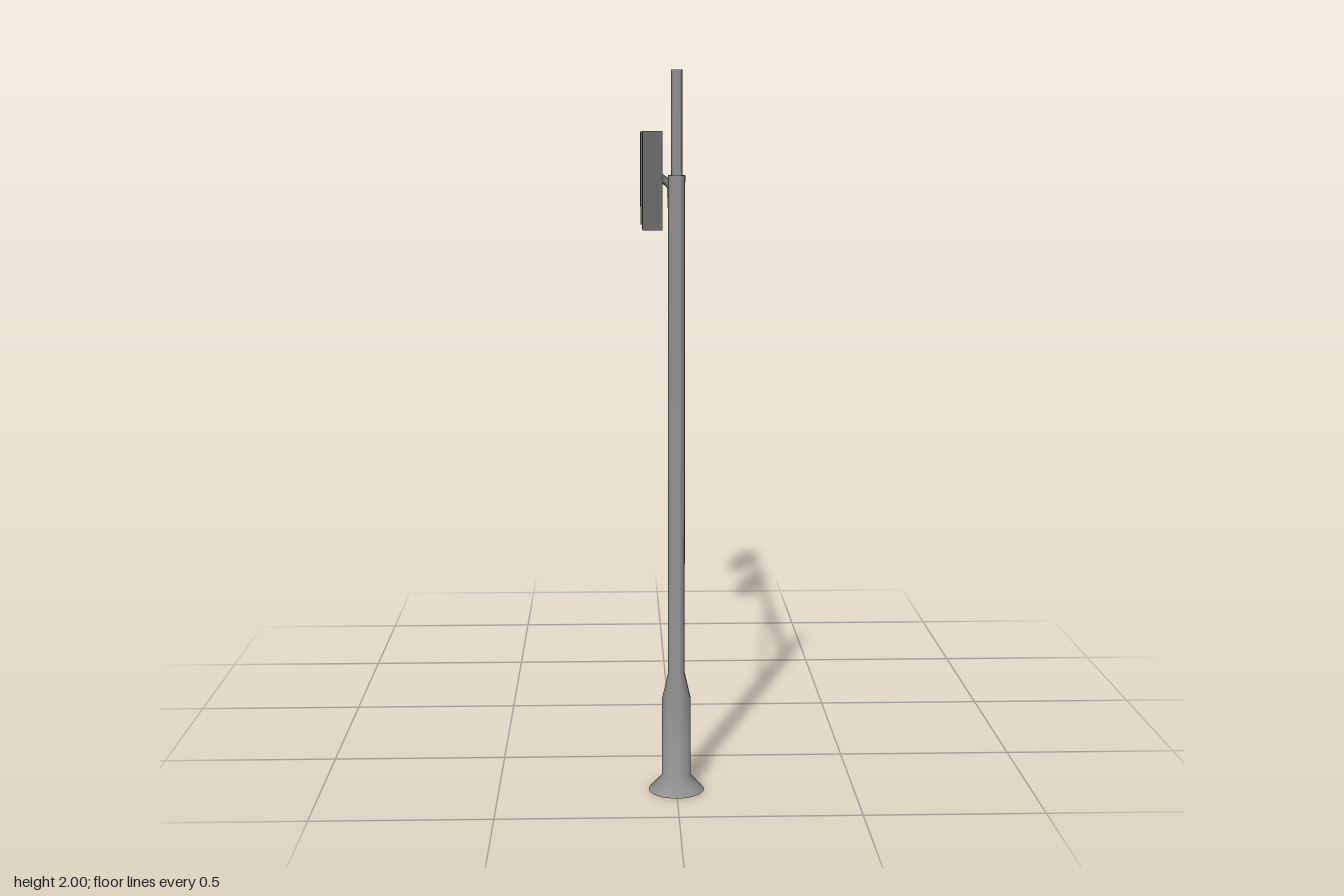
import * as THREE from 'three';
import { toCreasedNormals } from 'three/addons/utils/BufferGeometryUtils.js';

const POLE_Z = 0.78;

export function createModel() {
  const model = new THREE.Group();
  const steel = new THREE.MeshStandardMaterial({ color: 0x909090 });
  const darkGrey = new THREE.MeshStandardMaterial({ color: 0x6c6c6c });

  const add = (name, geometry, material) => {
    const mesh = new THREE.Mesh(geometry, material);
    mesh.name = name;
    model.add(mesh);
    return mesh;
  };

  // Closed round bar between two points
  const bar = (name, from, to, radius) => {
    const dir = to.clone().sub(from);
    const mesh = add(name, new THREE.CylinderGeometry(radius, radius, dir.length(), 16), steel);
    mesh.position.copy(from).add(to).multiplyScalar(0.5);
    mesh.quaternion.setFromUnitVectors(new THREE.Vector3(0, 1, 0), dir.normalize());
  };

  // Pole: flared foot, thick sleeve, long shaft and thin mast on top
  const profile = [
    [0, 0], [0.078, 0], [0.04, 0.042], [0.04, 0.265], [0.023, 0.34],
    [0.023, 1.72], [0.015, 1.72], [0.015, 2], [0, 2],
  ].map(([r, y]) => new THREE.Vector2(r, y));
  const pole = add('pole', toCreasedNormals(new THREE.LatheGeometry(profile, 32), 1), steel);
  pole.position.z = POLE_Z;

  // Horizontal arm and its diagonal brace
  bar('arm', new THREE.Vector3(0, 1.682, POLE_Z), new THREE.Vector3(0, 1.682, -0.857), 0.0135);
  bar('brace', new THREE.Vector3(0, 1.232, POLE_Z), new THREE.Vector3(0, 1.675, 0.063), 0.006);

  // Signal boxes on the right side of the arm
  for (const z of [-0.275, -0.705]) {
    const box = add('signalBox', new THREE.BoxGeometry(0.065, 0.32, 0.1), darkGrey);
    box.position.set(-0.0435, 1.683, z);
  }

  return model;
}
